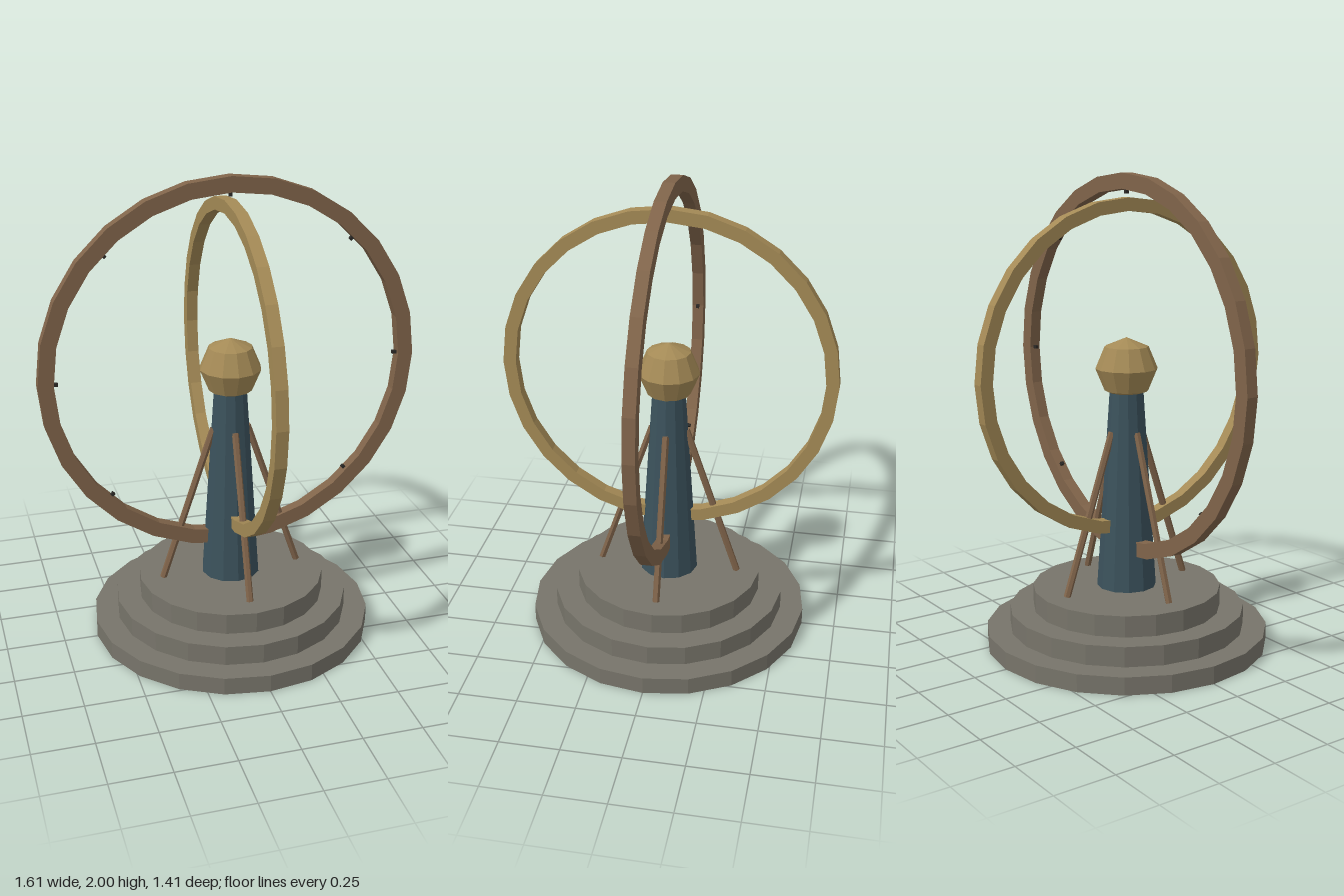
import * as THREE from 'three';

const mat = (name, color) => {
  const m = new THREE.MeshStandardMaterial({ color, flatShading: true });
  m.name = name;
  return m;
};

export function createModel() {
  const stone = mat('stone', 0x77746a);
  const bronze = mat('bronze', 0x80644a);
  const brass = mat('brass', 0xa48a56);
  const steel = mat('blueSteel', 0x3b525c);
  const dark = mat('darkIron', 0x2b2926);

  const model = new THREE.Group();
  model.name = 'ringMonument';
  const add = (name, geometry, material, x = 0, y = 0, z = 0, parent = model) => {
    const mesh = new THREE.Mesh(geometry, material);
    mesh.name = name;
    mesh.position.set(x, y, z);
    parent.add(mesh);
    return mesh;
  };
  const centreY = 1.195;

  // Stepped round base
  [[0.606, 0, 0.075], [0.506, 0.075, 0.16], [0.404, 0.16, 0.25]].forEach(([r, y0, y1], i) =>
    add(`baseStep${i + 1}`, new THREE.CylinderGeometry(r, r, y1 - y0, 20), stone, 0, (y0 + y1) / 2, 0));

  // Tapered column with a faceted ball on top
  add('column', new THREE.CylinderGeometry(0.07, 0.127, 0.87, 12), steel, 0, 0.685, 0);
  add('ball', new THREE.SphereGeometry(0.131, 12, 4), brass, 0, centreY, 0);

  // Square-section rings crossing at right angles
  const ringGeometry = (inner, outer, half) => new THREE.LatheGeometry(
    [[inner, -half], [outer, -half], [outer, half], [inner, half], [inner, -half]]
      .map(([x, y]) => new THREE.Vector2(x, y)), 28);
  add('outerRing', ringGeometry(0.74, 0.805, 0.025), bronze, 0, centreY, 0).rotation.x = Math.PI / 2;
  add('innerRing', ringGeometry(0.652, 0.706, 0.025), brass, 0, centreY, 0).rotation.z = Math.PI / 2;

  // Small pegs on the inside of the outer ring
  const pegs = new THREE.Group();
  pegs.name = 'pegs';
  pegs.position.y = centreY;
  model.add(pegs);
  for (let i = 0; i < 8; i++) {
    const a = (i * Math.PI) / 4;
    add('peg', new THREE.BoxGeometry(0.04, 0.014, 0.014), dark,
      0.74 * Math.cos(a), 0.74 * Math.sin(a), 0, pegs).rotation.z = a;
  }

  // Four braces leaning against the column
  const foot = new THREE.Vector2(0.305, 0.25);
  const head = new THREE.Vector2(0.075, 0.93);
  const run = head.clone().sub(foot);
  for (let i = 0; i < 4; i++) {
    const brace = new THREE.Group();
    brace.name = `brace${i + 1}`;
    brace.rotation.y = (i * Math.PI) / 2;
    model.add(brace);
    add('braceRod', new THREE.CylinderGeometry(0.015, 0.015, run.length(), 6), bronze,
      (foot.x + head.x) / 2, (foot.y + head.y) / 2, 0, brace).rotation.z = Math.atan2(-run.x, run.y);
  }

  return model;
}
